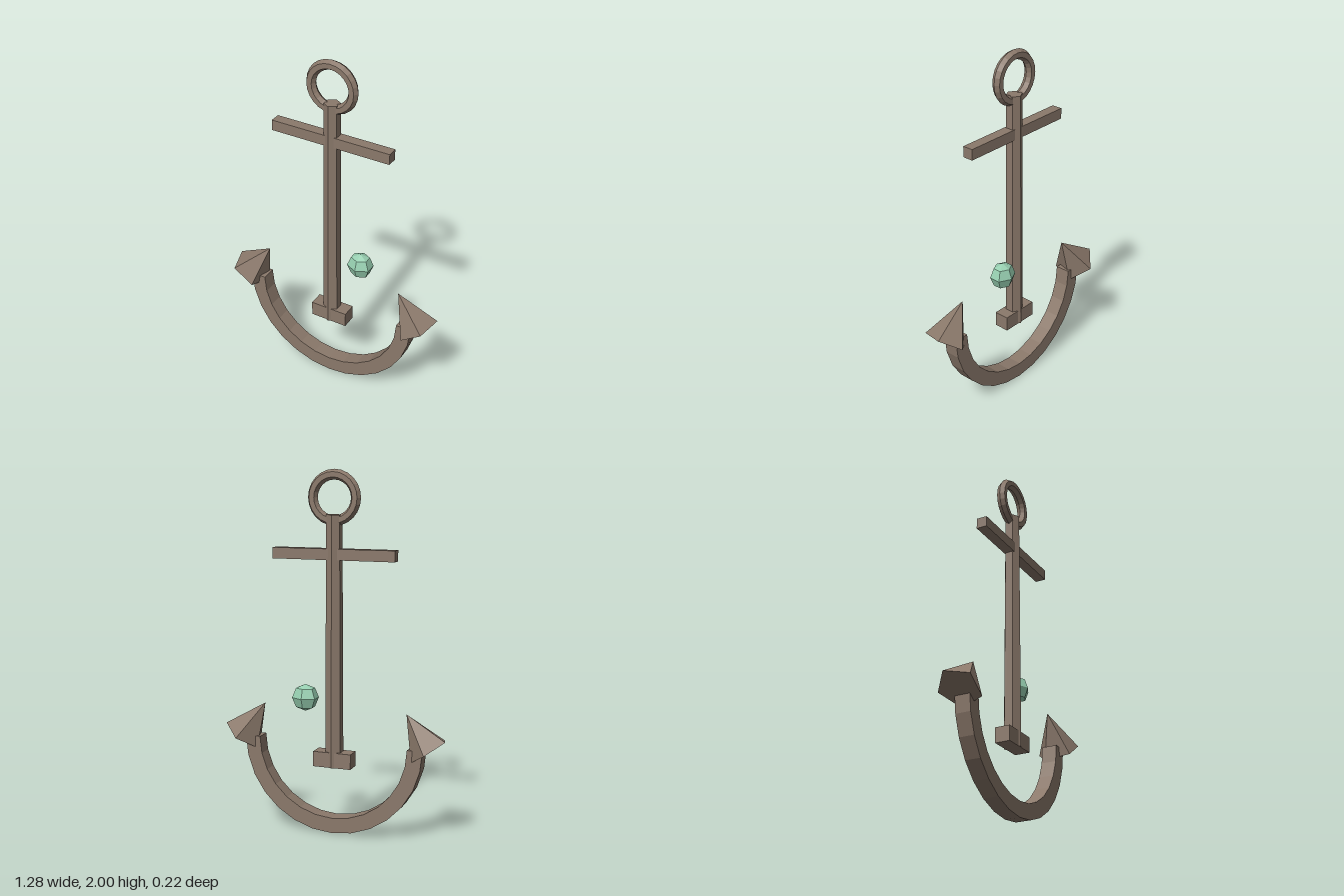
import * as THREE from 'three';

export function createModel() {
  const model = new THREE.Group();
  model.name = 'anchor';

  const iron = new THREE.MeshStandardMaterial({ color: 0x8b796b, flatShading: true });
  iron.name = 'weathered iron';
  const green = new THREE.MeshStandardMaterial({ color: 0x96ceb0, flatShading: true });
  green.name = 'pale green';

  const Z = 0.01; // depth of the anchor's middle plane

  function add(name, geometry, x, y, z = Z, material = iron) {
    const mesh = new THREE.Mesh(geometry, material);
    mesh.name = name;
    mesh.position.set(x, y, z);
    model.add(mesh);
    return mesh;
  }

  // Tapered six-sided shank, cross bar and foot block
  add('shank', new THREE.CylinderGeometry(0.044, 0.051, 1.385, 6), 0, 1.0675);
  add('stock', new THREE.BoxGeometry(0.696, 0.06, 0.06), 0, 1.549);
  add('footBlock', new THREE.BoxGeometry(0.218, 0.085, 0.085), 0, 0.4175);

  // Ring at the top of the shank
  add('ring', new THREE.TorusGeometry(0.122, 0.028, 6, 24), 0, 1.85);

  // Curved arms: a half ring of square section
  const steps = 14;
  const outer = [];
  const inner = [];
  for (let i = 0; i <= steps; i++) {
    const a = Math.PI + (Math.PI * i) / steps;
    outer.push(new THREE.Vector2(Math.cos(a) * 0.516, Math.sin(a) * 0.516));
    inner.unshift(new THREE.Vector2(Math.cos(a) * 0.43, Math.sin(a) * 0.43));
  }
  const arms = new THREE.ExtrudeGeometry(new THREE.Shape([...outer, ...inner]), {
    depth: 0.086,
    bevelEnabled: false,
  });
  arms.translate(0, 0, -0.043);
  add('arms', arms, 0, 0.516);

  // Five-sided flukes leaning inwards over the arm ends
  for (const side of [1, -1]) {
    const cone = new THREE.ConeGeometry(0.12, 0.232, 5).rotateY(Math.PI);
    const fluke = add(side > 0 ? 'leftFluke' : 'rightFluke', cone, side * 0.479, 0.608);
    fluke.rotation.z = side * 0.603;
  }

  // Faceted ball floating beside the shank
  const ball = new THREE.SphereGeometry(0.075, 6, 4).rotateY(Math.PI / 2).scale(1.02, 1, 0.86);
  add('ball', ball, 0.15, 0.764, -0.04, green);

  return model;
}
